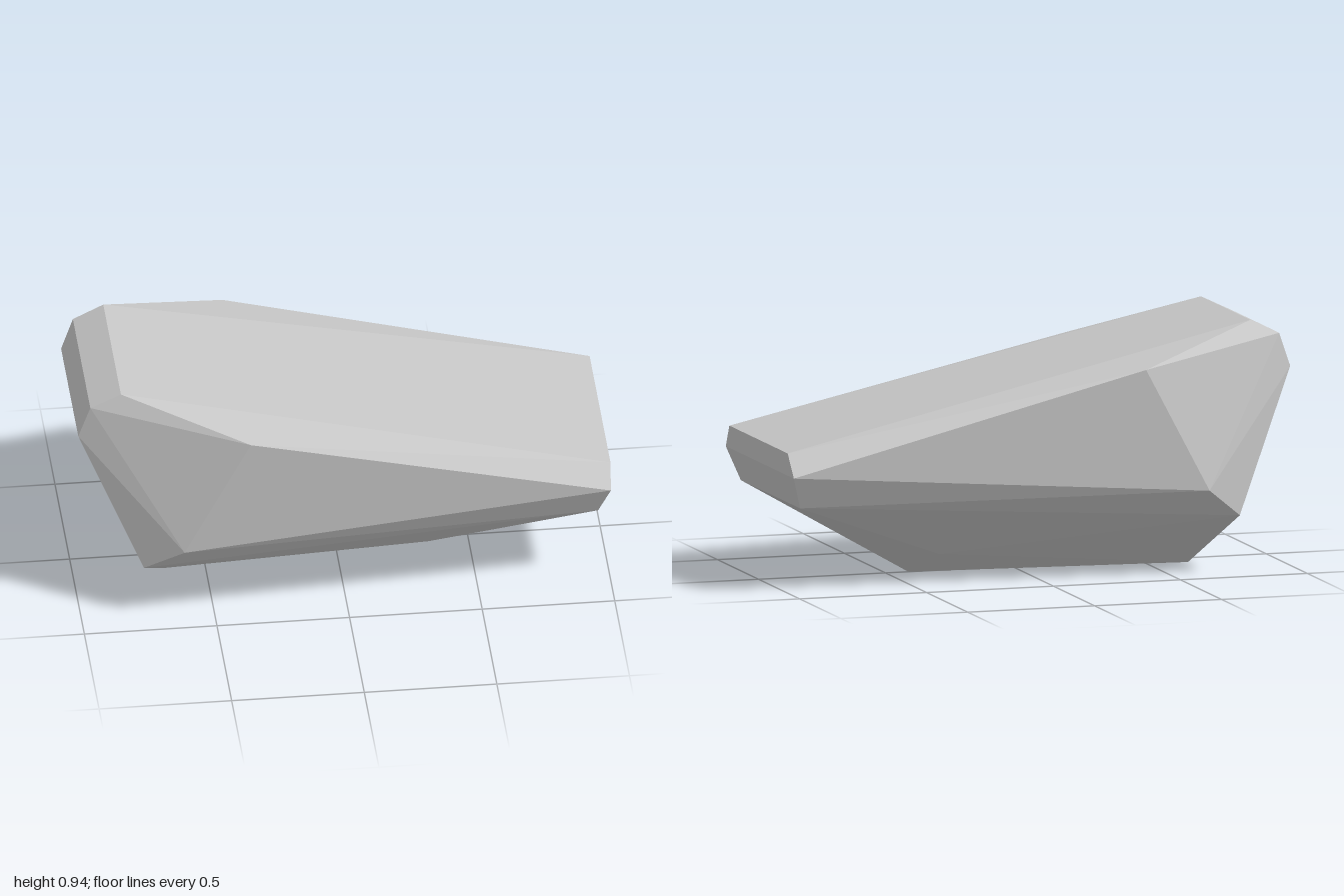
import * as THREE from 'three';
import { ConvexGeometry } from 'three/addons/geometries/ConvexGeometry.js';

export function createModel() {
  const stone = new THREE.MeshStandardMaterial({ color: 0xc6c6c6, flatShading: true });
  stone.name = 'light grey stone';

  // Corners of one half of the boulder; each is mirrored across z
  const corners = [
    // tall end
    [-0.84, 0.94, 0.30], [-0.955, 0.885, 0.297], [-1, 0.757, 0.292],
    // widest shoulder and flank
    [-0.37, 0.8, 0.485], [-0.62, 0.33, 0.485], [-0.765, 0.218, 0.405],
    // low end
    [1, 0.53, 0.355], [0.995, 0.443, 0.414], [0.953, 0.32, 0.36],
    // underside
    [-0.66, 0, 0.098], [0.335, 0.086, 0.155],
  ];
  const points = [new THREE.Vector3(0.41, 0, 0)]; // keel tip
  for (const [x, y, z] of corners) {
    for (const side of [1, -1]) points.push(new THREE.Vector3(x, y, z * side));
  }

  const boulder = new THREE.Mesh(new ConvexGeometry(points), stone);
  boulder.name = 'boulder';

  const group = new THREE.Group();
  group.name = 'rock';
  group.add(boulder);
  return group;
}
